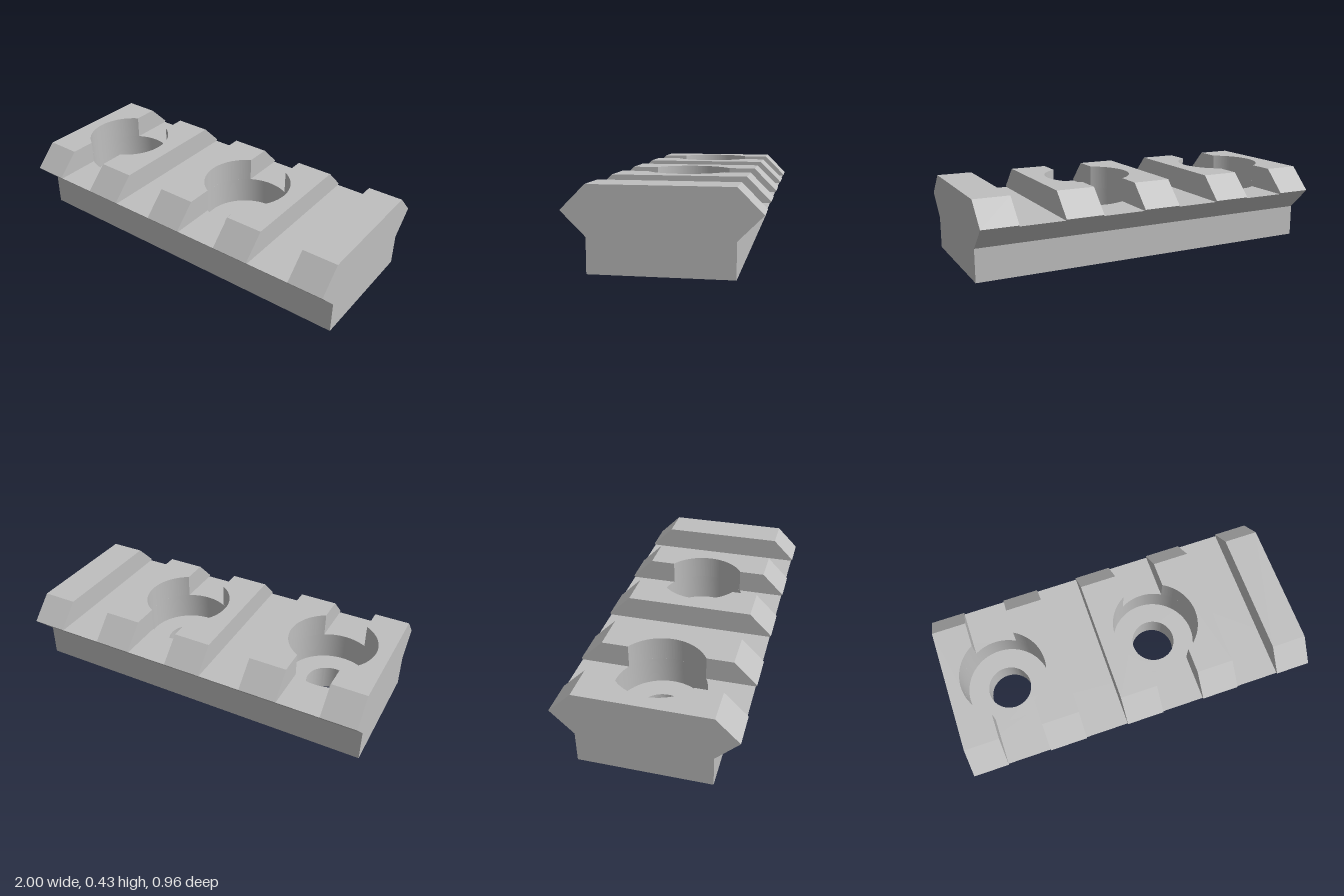
import * as THREE from 'three';
import { toCreasedNormals } from 'three/addons/utils/BufferGeometryUtils.js';

const HALF_Z = 0.355, WIDE_Z = 0.48;            // foot / widest half depth
const Y_NECK = 0.178, Y_WIDE = 0.302, Y_TOP = 0.427;
const Y_SLOT = 0.295, Y_LEDGE = 0.14;           // slot floor, counterbore floor
const HOLE_R = 0.125, BORE_R = 0.243;
const BORES = [-0.682, 0.226];
const TEETH = [[-1, -0.804], [-0.561, -0.351], [-0.107, 0.105], [0.347, 0.557], [0.804, 1]];

export function createModel() {
  const group = new THREE.Group();
  const metal = new THREE.MeshStandardMaterial({ color: 0xbfbfbf });
  metal.name = 'grey metal';

  const add = (parent, name, geometry) => {
    const mesh = new THREE.Mesh(toCreasedNormals(geometry, 0.5), metal);
    mesh.name = name;
    parent.add(mesh);
  };

  // Plan outline raised from y0 to y1
  const raise = (shape, y0, y1) =>
    new THREE.ExtrudeGeometry(shape, { depth: y1 - y0, bevelEnabled: false, curveSegments: 48 })
      .rotateX(-Math.PI / 2).translate(0, y0, 0);

  // Cross-section of [z, y] points swept from x0 to x1
  const sweep = (points, x0, x1) =>
    new THREE.ExtrudeGeometry(new THREE.Shape(points.map(([z, y]) => new THREE.Vector2(-z, y))),
      { depth: x1 - x0, bevelEnabled: false })
      .rotateY(Math.PI / 2).translate(x0, 0, 0);

  // Rectangular slab pierced by both screw holes
  const piercedSlab = (radius) => {
    const s = new THREE.Shape();
    s.moveTo(-1, -HALF_Z).lineTo(1, -HALF_Z).lineTo(1, HALF_Z).lineTo(-1, HALF_Z).closePath();
    for (const c of BORES) s.holes.push(new THREE.Path().absarc(c, 0, radius, 0, Math.PI * 2, true));
    return s;
  };

  // Tooth plan, bitten by a counterbore where one overlaps an edge
  const toothPlan = (a, b) => {
    const s = new THREE.Shape();
    const biting = (edge) => BORES.find((c) => Math.abs(edge - c) < BORE_R);
    const angle = (edge, c) => Math.acos((edge - c) / BORE_R);
    const left = biting(a), right = biting(b);
    s.moveTo(a, -HALF_Z).lineTo(b, -HALF_Z);
    if (right !== undefined) {
      const t = angle(b, right);
      s.absarc(right, 0, BORE_R, -t, t, true);
    }
    s.lineTo(b, HALF_Z).lineTo(a, HALF_Z);
    if (left !== undefined) {
      const t = angle(a, left);
      s.absarc(left, 0, BORE_R, t, -t, true);
    }
    s.closePath();
    return s;
  };

  // Body: narrow screw holes below, wide counterbores above
  const body = new THREE.Group();
  body.name = 'railBody';
  group.add(body);
  add(body, 'lowerBody', raise(piercedSlab(HOLE_R), 0, Y_LEDGE));
  add(body, 'upperBody', raise(piercedSlab(BORE_R), Y_LEDGE, Y_SLOT));

  // Undercut flanges along both long sides
  const slotZ = HALF_Z + (WIDE_Z - HALF_Z) * (Y_SLOT - Y_NECK) / (Y_WIDE - Y_NECK);
  const flange = [[HALF_Z, Y_NECK], [slotZ, Y_SLOT], [HALF_Z, Y_SLOT]];
  const chamfer = [[HALF_Z, Y_SLOT], [slotZ, Y_SLOT], [WIDE_Z, Y_WIDE], [HALF_Z, Y_TOP]];
  const mirrored = (points, side) => points.map(([z, y]) => [z * side, y]);
  for (const side of [1, -1]) {
    add(body, side > 0 ? 'frontFlange' : 'backFlange', sweep(mirrored(flange, side), -1, 1));
  }

  // Cross teeth with chamfered ends
  TEETH.forEach(([a, b], i) => {
    const tooth = new THREE.Group();
    tooth.name = `tooth${i + 1}`;
    group.add(tooth);
    add(tooth, 'toothBlock', raise(toothPlan(a, b), Y_SLOT, Y_TOP));
    for (const side of [1, -1]) {
      add(tooth, side > 0 ? 'frontChamfer' : 'backChamfer', sweep(mirrored(chamfer, side), a, b));
    }
  });

  return group;
}
